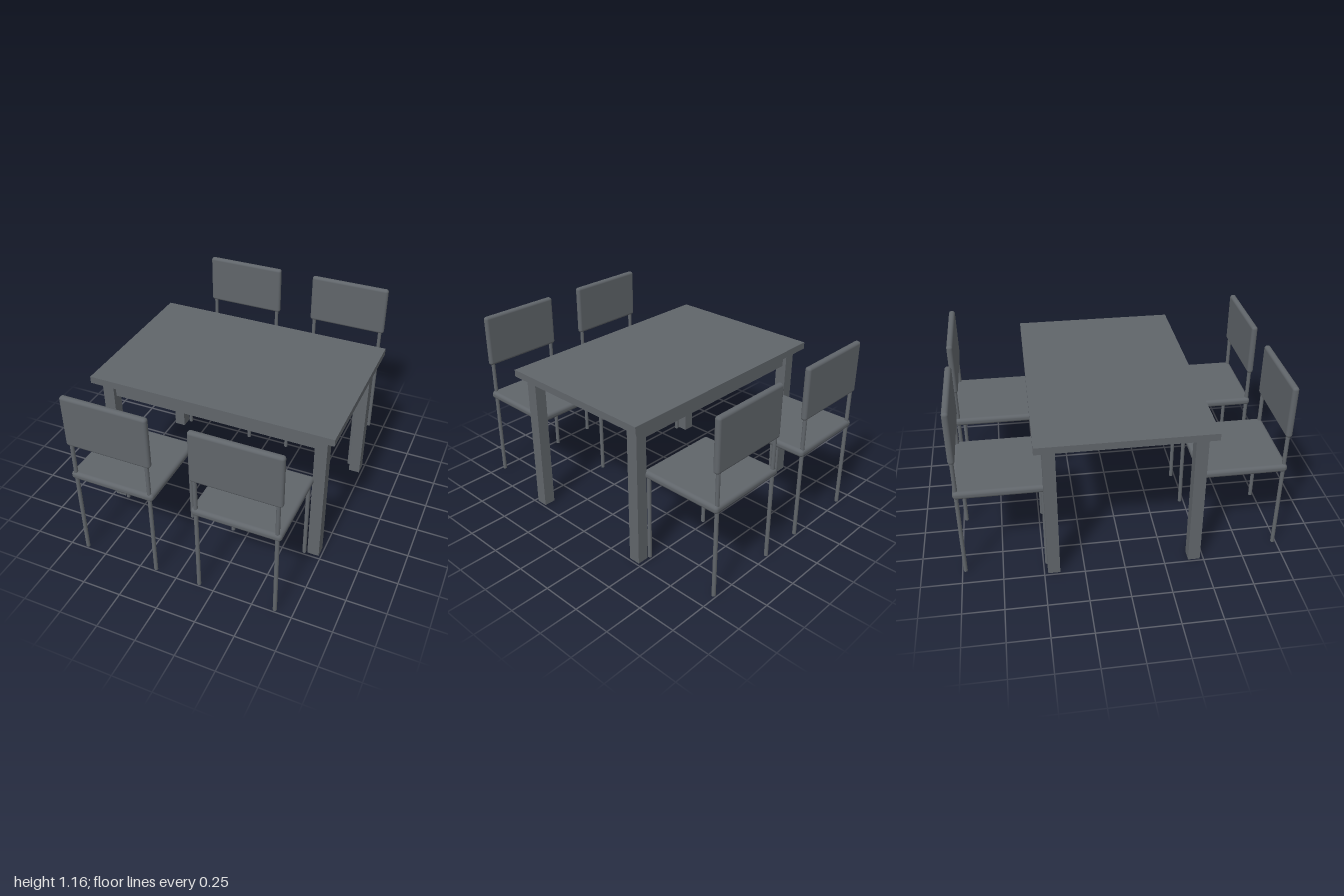
import * as THREE from 'three';
import { RoundedBoxGeometry } from 'three/addons/geometries/RoundedBoxGeometry.js';

const grey = new THREE.MeshStandardMaterial({ color: 0x60656a });
grey.name = 'slate grey';

function add(parent, name, geometry, x, y, z) {
  const mesh = new THREE.Mesh(geometry, grey);
  mesh.name = name;
  mesh.position.set(x, y, z);
  parent.add(mesh);
}

// Table: slab top, four square legs, a rail under each long side
function createTable() {
  const table = new THREE.Group();
  table.name = 'table';
  add(table, 'tableTop', new THREE.BoxGeometry(1.576, 0.045, 1.05), 0, 0.9525, 0);
  const leg = new THREE.BoxGeometry(0.075, 0.93, 0.075);
  const rail = new THREE.BoxGeometry(1.33, 0.107, 0.025);
  for (const sz of [-1, 1]) {
    for (const sx of [-1, 1]) add(table, 'tableLeg', leg, sx * 0.698, 0.465, sz * 0.44);
    add(table, 'tableRail', rail, 0, 0.8765, sz * 0.44);
  }
  return table;
}

// Chair centred on x = 0 and z = 0, backrest towards +z
function createChair() {
  const chair = new THREE.Group();
  chair.name = 'chair';
  const r = 0.0125, backZ = 0.254;
  add(chair, 'seat', new RoundedBoxGeometry(0.548, 0.05, 0.546, 4, 0.021), 0, 0.596, 0);
  add(chair, 'backrest', new RoundedBoxGeometry(0.548, 0.34, 0.04, 4, 0.018), 0, 0.99, backZ - 0.001);
  const frontLeg = new THREE.CylinderGeometry(r, r, 0.59, 16);
  const backLeg = new THREE.CylinderGeometry(r, r, 0.86, 16);
  for (const sx of [-1, 1]) {
    add(chair, 'frontLeg', frontLeg, sx * 0.246, 0.295, -0.25);
    add(chair, 'backLeg', backLeg, sx * 0.246, 0.43, backZ);
  }
  return chair;
}

export function createModel() {
  const model = new THREE.Group();
  model.name = 'diningSet';
  model.add(createTable());
  // Two chairs on each long side, facing the table
  for (const sz of [-1, 1]) {
    for (const sx of [-1, 1]) {
      const chair = createChair();
      chair.position.set(sx * 0.394, 0, sz * 0.727);
      if (sz < 0) chair.rotation.y = Math.PI;
      model.add(chair);
    }
  }
  return model;
}
